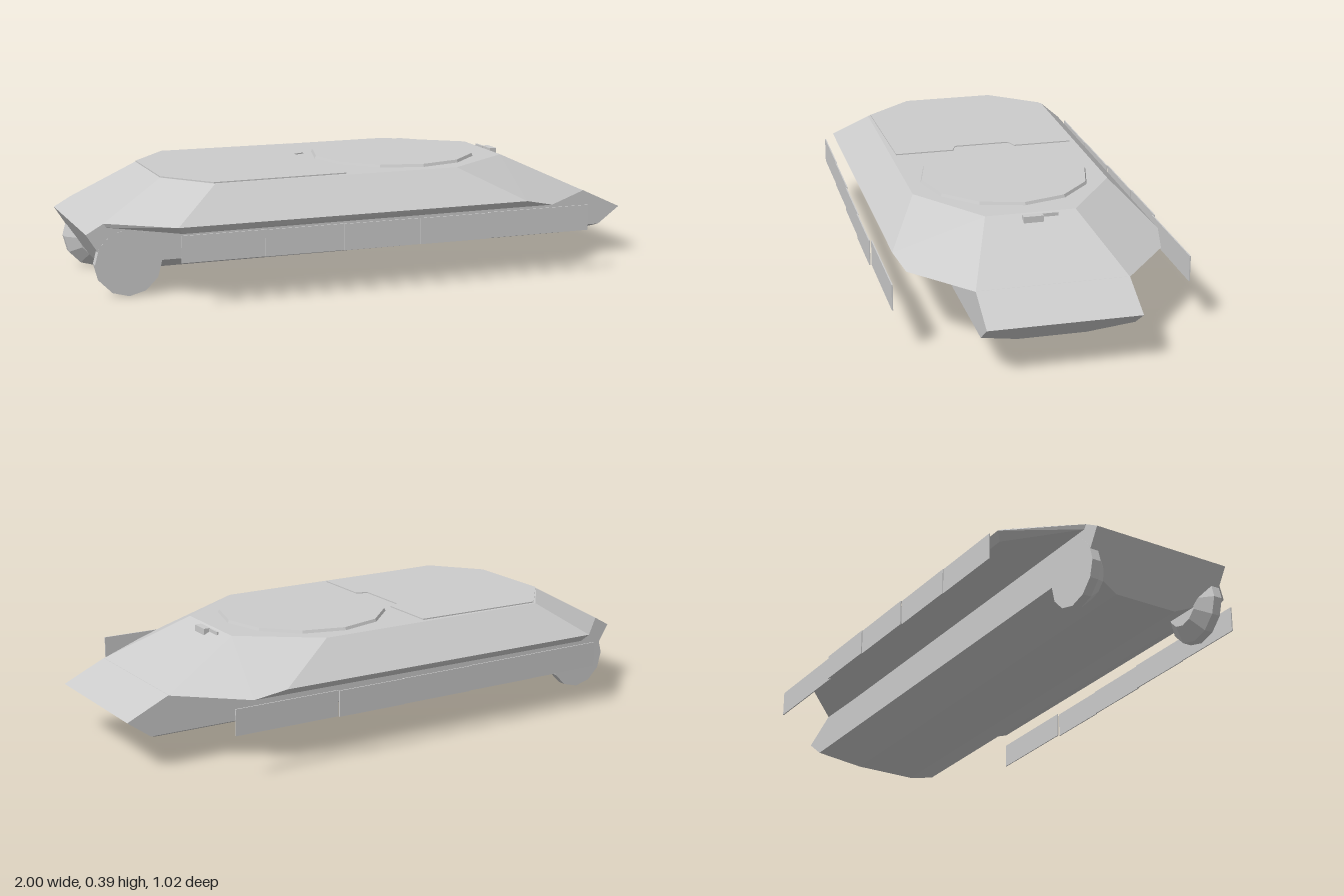
import * as THREE from 'three';
import { ConvexGeometry } from 'three/addons/geometries/ConvexGeometry.js';

const material = new THREE.MeshStandardMaterial({ color: 0xcccccc, flatShading: true });

function add(parent, name, geometry, x = 0, y = 0, z = 0) {
  const mesh = new THREE.Mesh(geometry, material);
  mesh.name = name;
  mesh.position.set(x, y, z);
  parent.add(mesh);
  return mesh;
}

// Convex body from corners given for one side, mirrored across z = 0
function mirroredHull(corners) {
  return new ConvexGeometry(corners.flatMap(([x, y, z]) => [
    new THREE.Vector3(x, y, z), new THREE.Vector3(x, y, -z)]));
}

export function createModel() {
  const model = new THREE.Group();
  model.name = 'armouredHull';

  // Narrow lower hull: wedge nose, chamfered belly, sloping rear plate
  add(model, 'lowerHull', mirroredHull([
    [1, 0.175, 0.255], [0.85, 0.245, 0.255], [-0.94, 0.254, 0.255], [-1, 0.22, 0.255],
    [0.917, 0.115, 0.255], [-0.934, 0.115, 0.255],
    [0.84, 0.06, 0.115], [-0.9, 0.06, 0.115],
  ]));

  // Wide upper hull: roof outline, widest rim, then underside
  add(model, 'upperHull', mirroredHull([
    [-0.72, 0.38, 0.17], [-0.58, 0.38, 0.345], [0.3, 0.38, 0.345], [0.56, 0.38, 0.155],
    [-0.94, 0.254, 0.255], [-0.74, 0.265, 0.46], [0.52, 0.265, 0.46],
    [-0.93, 0.24, 0.255], [-0.72, 0.24, 0.44], [0.63, 0.24, 0.435], [0.85, 0.244, 0.255],
  ]));

  // Slightly raised rear deck with a notch in its front edge
  const half = [[-0.72, 0.165], [-0.58, 0.335], [-0.105, 0.325], [-0.105, 0.115], [-0.145, 0.1]];
  const outline = [...half, ...half.map(([x, z]) => [x, -z]).reverse()];
  const deckShape = new THREE.Shape(outline.map(([x, z]) => new THREE.Vector2(x, z)));
  const deck = new THREE.ExtrudeGeometry(deckShape, { depth: 0.008, bevelEnabled: false });
  deck.rotateX(-Math.PI / 2);
  add(model, 'rearDeck', deck, 0, 0.376, 0);

  // Twelve-sided turret ring plate
  add(model, 'turretRing', new THREE.CylinderGeometry(0.293, 0.3, 0.016, 12), 0.195, 0.382, 0);

  // Periscope block and its thin guard on the sloping front
  add(model, 'periscope', new THREE.BoxGeometry(0.025, 0.024, 0.068), 0.59, 0.37, 0);
  add(model, 'periscopeGuard', new THREE.BoxGeometry(0.007, 0.02, 0.06), 0.579, 0.371, -0.06);

  // Final drives and side skirts, mirrored
  const drive = new THREE.LatheGeometry([[0, 0], [0.07, 0], [0.115, 0.045], [0.115, 0.076], [0, 0.076]]
    .map(([r, h]) => new THREE.Vector2(r, h)), 12);
  const joints = [-0.74, -0.455, -0.18, 0.095, 0.35, 0.735];
  const offsets = [0.491, 0.495, 0.501, 0.506, 0.5];
  for (const side of [1, -1]) {
    const label = side > 0 ? 'front' : 'back';
    const housing = add(model, label + 'FinalDrive', drive, -0.857, 0.115, side * 0.18);
    housing.rotation.x = side * Math.PI / 2;

    const skirt = new THREE.Group();
    skirt.name = label + 'SideSkirt';
    offsets.forEach((z, i) => {
      const length = joints[i + 1] - joints[i];
      const panel = add(skirt, 'skirtPanel' + (i + 1), new THREE.BoxGeometry(length, 0.09, 0.004),
        joints[i] + length / 2, 0.2, side * z);
      panel.rotation.y = side * -0.006;
    });
    model.add(skirt);
  }
  return model;
}
